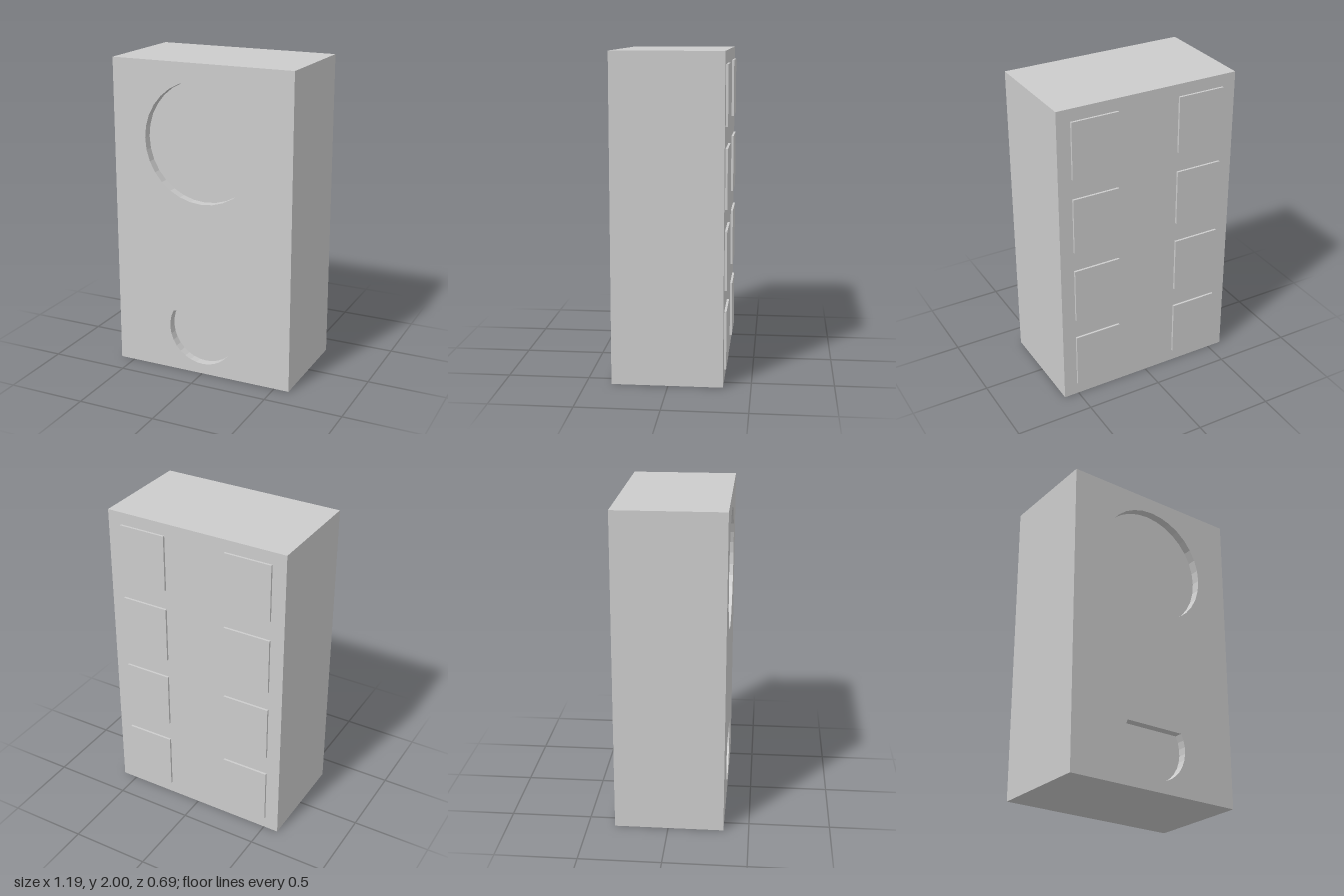
import * as THREE from 'three';

const W = 1.194, H = 2, BACK = -0.332, FRONT = 0.344, RECESS = 0.055;

// Points along an arc, counter-clockwise as seen from the front
function arc(cy, r, start, end, n, closed) {
  const pts = [];
  for (let i = 0; i < (closed ? n : n + 1); i++) {
    const a = start + (end - start) * i / n;
    pts.push(new THREE.Vector2(r * Math.cos(a), cy + r * Math.sin(a)));
  }
  return pts;
}

// Inward-facing wall strip running from the front face to the recess floor
function wallGeometry(pts) {
  const pos = [];
  pts.forEach((p, i) => {
    const q = pts[(i + 1) % pts.length], f = FRONT, b = FRONT - RECESS;
    pos.push(p.x, p.y, f, q.x, q.y, f, q.x, q.y, b);
    pos.push(p.x, p.y, f, q.x, q.y, b, p.x, p.y, b);
  });
  const g = new THREE.BufferGeometry();
  g.setAttribute('position', new THREE.Float32BufferAttribute(pos, 3));
  g.computeVertexNormals();
  return g;
}

export function createModel() {
  const model = new THREE.Group();
  const mat = new THREE.MeshStandardMaterial({ color: 0xcccccc, flatShading: true });
  const add = (name, geometry, parent = model) => {
    const mesh = new THREE.Mesh(geometry, mat);
    mesh.name = name;
    parent.add(mesh);
    return mesh;
  };

  // Cabinet: a box without its front face
  const box = new THREE.BoxGeometry(W, H, FRONT - BACK);
  const index = Array.from(box.index.array);
  index.splice(24, 6);
  box.setIndex(index);
  box.clearGroups();
  add('cabinet', box.translate(0, H / 2, (FRONT + BACK) / 2));

  // Recess outlines: a full circle above, a circle with a flat top below
  const cut = Math.asin(0.107 / 0.228);
  const outlines = {
    roundRecess: arc(1.515, 0.381, 0, Math.PI * 2, 32, true),
    flatToppedRecess: arc(0.295, 0.228, Math.PI - cut, Math.PI * 2 + cut, 22, false),
  };

  // Front panel with the two openings
  const panel = new THREE.Shape([
    new THREE.Vector2(-W / 2, 0), new THREE.Vector2(W / 2, 0),
    new THREE.Vector2(W / 2, H), new THREE.Vector2(-W / 2, H),
  ]);
  for (const pts of Object.values(outlines)) panel.holes.push(new THREE.Path(pts));
  add('frontPanel', new THREE.ShapeGeometry(panel).translate(0, 0, FRONT));

  // Wall and floor of each recess
  for (const [name, pts] of Object.entries(outlines)) {
    const group = new THREE.Group();
    group.name = name;
    add(name + 'Wall', wallGeometry(pts), group);
    add(name + 'Floor', new THREE.ShapeGeometry(new THREE.Shape(pts)).translate(0, 0, FRONT - RECESS), group);
    model.add(group);
  }

  // Two columns of four thin raised pads on the back
  const padGeometry = new THREE.BoxGeometry(0.305, 0.362, 0.014);
  for (const side of [-1, 1]) {
    for (let row = 0; row < 4; row++) {
      add('backPad', padGeometry).position.set(side * 0.356, 0.264 + row * 0.4923, BACK - 0.007);
    }
  }
  return model;
}
